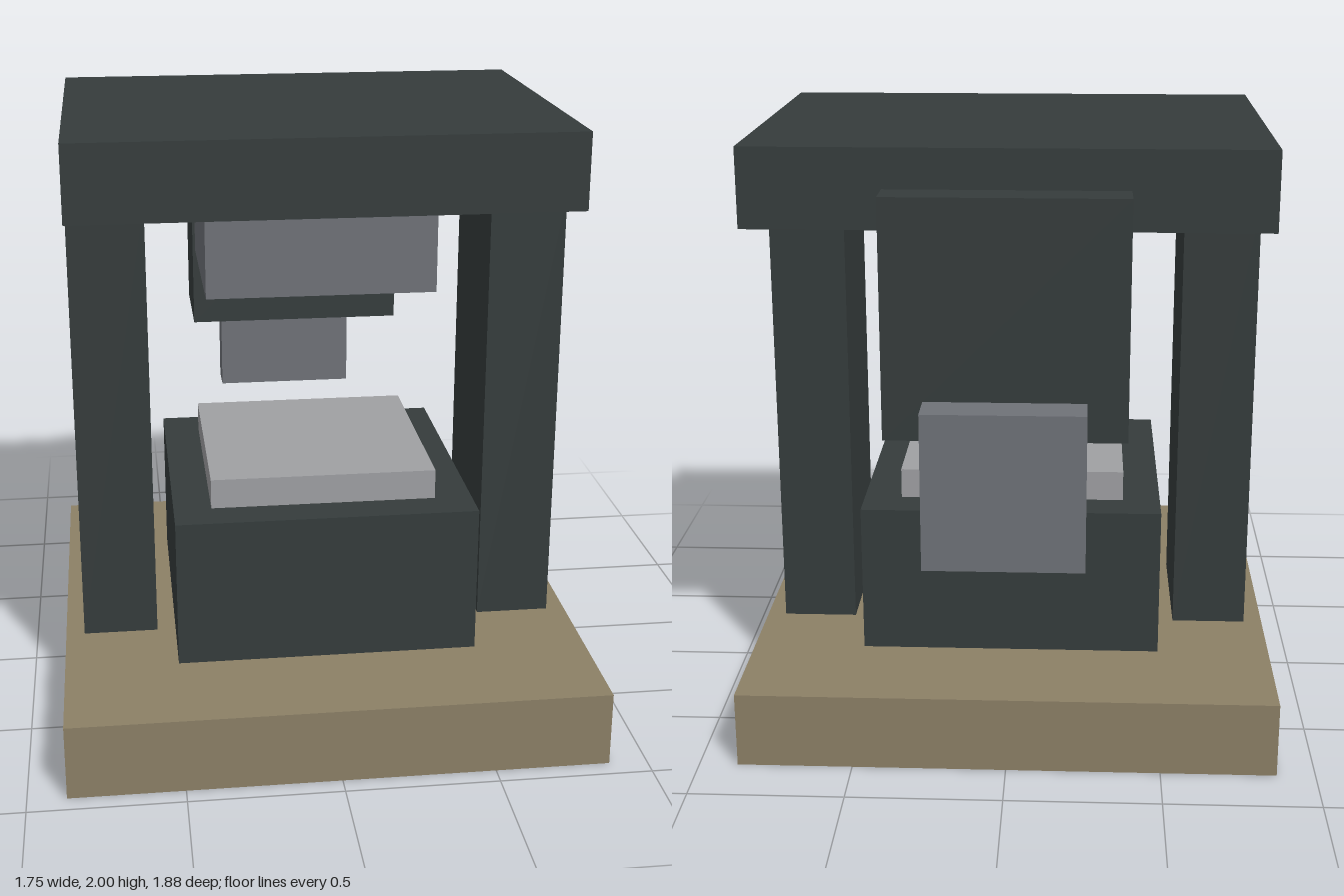
import * as THREE from 'three';

export function createModel() {
  const group = new THREE.Group();
  const makeMaterial = (name, color) => {
    const m = new THREE.MeshStandardMaterial({ color });
    m.name = name;
    return m;
  };
  const tan = makeMaterial('tan base', 0x8c8066);
  const dark = makeMaterial('dark frame', 0x353c3c);
  const steel = makeMaterial('steel', 0x6f7278);
  const pale = makeMaterial('pale steel', 0x9fa0a3);

  // Box given by its extents along each axis
  const box = (name, material, [x0, x1], [y0, y1], [z0, z1]) => {
    const mesh = new THREE.Mesh(new THREE.BoxGeometry(x1 - x0, y1 - y0, z1 - z0), material);
    mesh.position.set((x0 + x1) / 2, (y0 + y1) / 2, (z0 + z1) / 2);
    mesh.name = name;
    group.add(mesh);
  };

  // Base slab and press bed
  box('base', tan, [-0.875, 0.875], [0, 0.25], [-0.8125, 0.9375]);
  box('bed', dark, [-0.5, 0.5], [0.25, 0.75], [-0.4375, 0.5625]);
  box('bedPlate', pale, [-0.375, 0.375], [0.75, 0.85], [-0.3125, 0.4375]);

  // Side columns and top beam
  box('rightColumn', dark, [-0.8125, -0.5625], [0.25, 1.75], [-0.1875, 0.3125]);
  box('leftColumn', dark, [0.5625, 0.8125], [0.25, 1.75], [-0.1875, 0.3125]);
  box('topBeam', dark, [-0.8125, 0.8125], [1.75, 2], [-0.6875, 0.5625]);

  // Press head under the beam
  box('pressHead', steel, [-0.375, 0.375], [1.45, 1.75], [-0.25, 0.375]);

  // Rear housing with its hanging panel
  box('rearHousing', dark, [-0.375, 0.375], [1.125, 1.875], [-0.8125, -0.4375]);
  box('rearPanel', steel, [-0.25, 0.25], [0.75, 1.25], [-0.9375, -0.8125]);

  return group;
}
